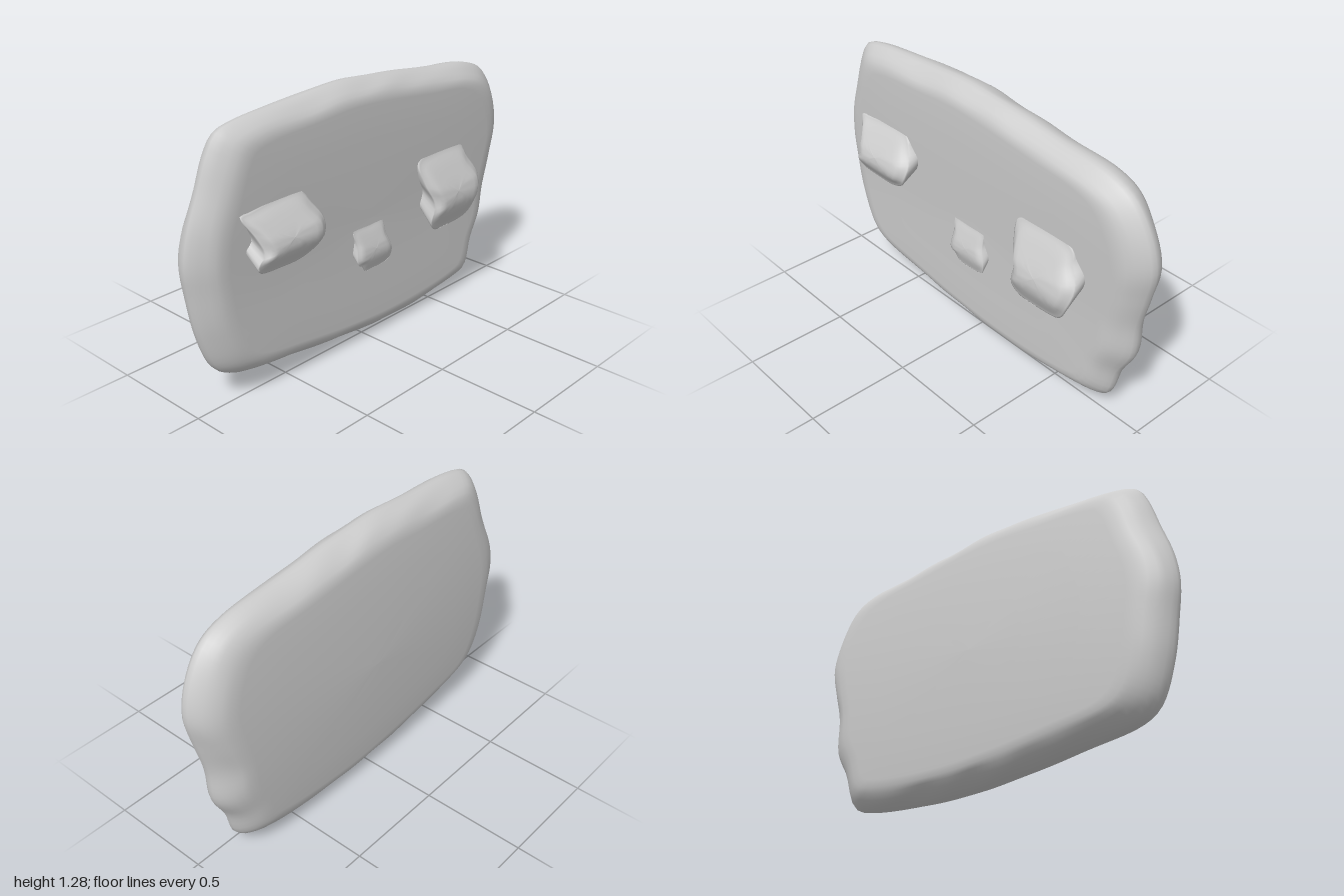
import * as THREE from 'three';

const material = new THREE.MeshStandardMaterial({ color: 0xcccccc, roughness: 0.9 });

// Smooth closed outline through [z, y] points, clockwise seen from +x
function smoothOutline(points, count) {
  const curve = new THREE.CatmullRomCurve3(
    points.map(([z, y]) => new THREE.Vector3(0, y, z)), true, 'centripetal');
  return curve.getSpacedPoints(count).slice(0, count);
}

// Skin a list of rings (each an array of Vector3) running from the +x side to the -x side
function loft(name, rings) {
  const n = rings[0].length, index = [];
  for (let i = 0; i < rings.length - 1; i++) {
    for (let j = 0; j < n; j++) {
      const k = (j + 1) % n;
      const a = i * n + j, d = i * n + k, b = a + n, c = d + n;
      index.push(a, d, c, a, c, b);
    }
  }
  const geometry = new THREE.BufferGeometry().setFromPoints(rings.flat());
  geometry.setIndex(index);
  geometry.computeVertexNormals();
  const mesh = new THREE.Mesh(geometry, material);
  mesh.name = name;
  return mesh;
}

// Thick slab with a worn, rounded rim and slightly bowed back face
function makeSlab() {
  const outline = smoothOutline([
    [0.82, 1.21], [0.72, 1.24], [0.4, 1.26], [0.15, 1.275], [-0.1, 1.26], [-0.45, 1.22],
    [-0.75, 1.185], [-0.87, 1.13], [-0.96, 1.0], [-1.0, 0.84], [-0.97, 0.68], [-0.93, 0.52],
    [-0.915, 0.35], [-0.85, 0.22], [-0.8, 0.07], [-0.7, 0.035], [-0.25, 0.0], [0.1, 0.015],
    [0.5, 0.065], [0.8, 0.12], [0.88, 0.18], [0.95, 0.35], [0.985, 0.55], [1.0, 0.68],
    [0.98, 0.82], [0.92, 0.99], [0.87, 1.13],
  ], 160);
  // [position through the thickness, outline scale]
  const profile = [
    [1, 0], [1, 0.3], [1, 0.6], [1, 0.84], [0.98, 0.88], [0.94, 0.91], [0.86, 0.94], [0.75, 0.968],
    [0.65, 0.99], [0.56, 1], [0.46, 0.997], [0.35, 0.985], [0.24, 0.965], [0.14, 0.94], [0.06, 0.905],
    [0.015, 0.87], [0, 0.82], [0, 0.6], [0, 0.3], [0, 0],
  ];
  const rings = profile.map(([u, s]) => outline.map((p) => {
    // Shallow weathered grooves, only around the rim
    const angle = Math.atan2(p.y - 0.62, p.z);
    const rim = THREE.MathUtils.smoothstep(s, 0.86, 0.95) * Math.abs(u - 0.56) * 2;
    const scale = s + rim * 0.014 * Math.sin(angle * 9 + u * 5) * Math.sin(angle * 4 + 1);
    const z = p.z * scale, y = 0.62 + (p.y - 0.62) * scale;
    const right = 0.06 + 0.022 * THREE.MathUtils.smoothstep(y, 0.4, 1.1);
    const left = -0.18 + 0.1 * (y - 0.5) ** 2 + 0.03 * z * z;
    return new THREE.Vector3(THREE.MathUtils.lerp(left, right, u), y, z);
  }));
  return loft('slab', rings);
}

// Piecewise-linear depth of a stone from its top (0) to its bottom (1)
function wedge(v) {
  const stops = [[0, 0], [0.45, 0.88], [0.58, 1], [0.7, 1], [1, 0.5]];
  const i = Math.max(1, stops.findIndex(([t]) => v <= t));
  const [t0, d0] = stops[i - 1], [t1, d1] = stops[i];
  return d0 + (d1 - d0) * (v - t0) / (t1 - t0);
}

// Wedge-shaped stone: sloped upper face, blunt nose, undercut base
function makeStone(name, points, surface, depth) {
  const outline = smoothOutline(points, 56);
  const ys = outline.map((p) => p.y), zs = outline.map((p) => p.z);
  const top = Math.max(...ys), height = top - Math.min(...ys);
  const cy = top - height * 0.52, cz = (Math.max(...zs) + Math.min(...zs)) / 2;
  const rings = [0, 0.2, 0.4, 0.6, 0.75, 0.84, 0.91, 0.96, 1].map((s) => outline.map((p) => {
    const y = cy + (p.y - cy) * s, z = cz + (p.z - cz) * s;
    const v = THREE.MathUtils.clamp((top - y) / height, 0, 1);
    const edge = THREE.MathUtils.smoothstep(s, 0.7, 1.04);
    const k = 1 - edge * 0.55 * (1 - v * v);
    return new THREE.Vector3(surface + depth * wedge(v) * k, y, z);
  }));
  // Underside runs back up into the slab
  for (const [x, squash] of [[surface, 0.82], [surface - 0.04, 0.72]]) {
    rings.push(outline.map((p) => new THREE.Vector3(
      x, top - (top - p.y) * squash, cz + (p.z - cz) * 0.98)));
  }
  return loft(name, rings);
}

export function createModel() {
  const model = new THREE.Group();
  model.name = 'stoneSlab';
  model.add(makeSlab());
  model.add(makeStone('frontStone', [
    [0.79, 0.87], [0.74, 0.875], [0.6, 0.89], [0.45, 0.885], [0.41, 0.83], [0.37, 0.76], [0.4, 0.67],
    [0.5, 0.615], [0.62, 0.61], [0.74, 0.625], [0.76, 0.66], [0.73, 0.71], [0.75, 0.78],
  ], 0.073, 0.107));
  model.add(makeStone('middleStone', [
    [0.12, 0.585], [0.02, 0.59], [-0.07, 0.59], [-0.085, 0.52], [-0.11, 0.44], [-0.09, 0.39],
    [0.01, 0.375], [0.07, 0.38], [0.09, 0.41], [0.12, 0.43], [0.115, 0.52],
  ], 0.062, 0.043));
  model.add(makeStone('backStone', [
    [-0.31, 0.8], [-0.4, 0.825], [-0.63, 0.81], [-0.66, 0.75], [-0.71, 0.66], [-0.67, 0.53],
    [-0.62, 0.47], [-0.5, 0.45], [-0.38, 0.455], [-0.34, 0.5], [-0.355, 0.6], [-0.32, 0.69],
  ], 0.07, 0.105));
  return model;
}
